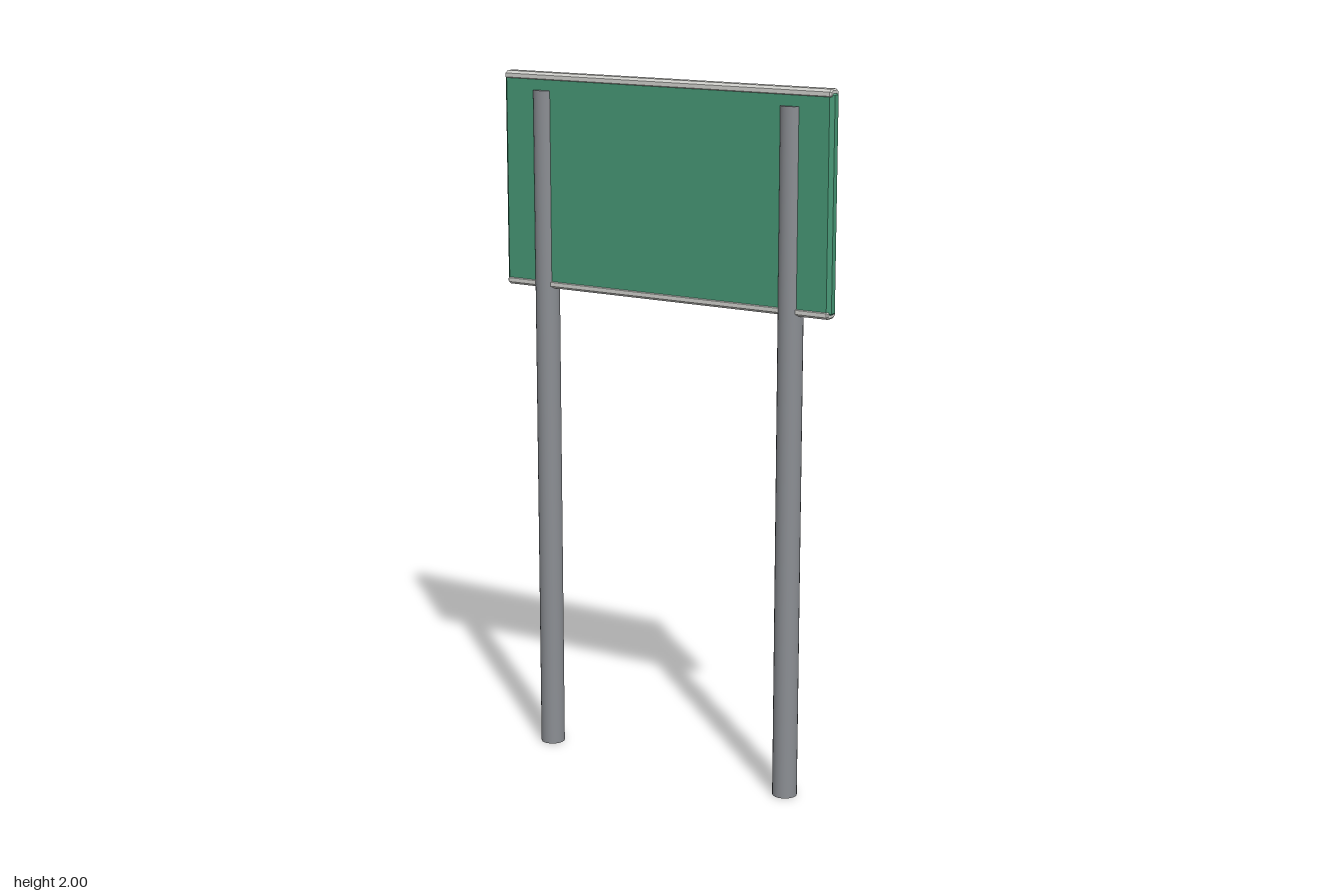
import * as THREE from 'three';

const green = new THREE.MeshStandardMaterial({ name: 'signGreen', color: 0x469674 });
const silver = new THREE.MeshStandardMaterial({ name: 'railSilver', color: 0xcfcfcb });
const steel = new THREE.MeshStandardMaterial({ name: 'postSteel', color: 0x8b8e93 });

// Bar with a cut-corner rectangular section and chamfered ends, running along z
function chamferedBar(halfW, halfH, cutW, cutH, length, bevel) {
  const w = halfW - bevel, h = halfH - bevel;
  const shape = new THREE.Shape([
    [w - cutW, -h], [w, -h + cutH], [w, h - cutH], [w - cutW, h],
    [-w + cutW, h], [-w, h - cutH], [-w, -h + cutH], [-w + cutW, -h],
  ].map(([x, y]) => new THREE.Vector2(x, y)));
  const geometry = new THREE.ExtrudeGeometry(shape, {
    depth: length - 2 * bevel, bevelEnabled: true,
    bevelThickness: bevel, bevelSize: bevel, bevelSegments: 1,
  });
  return geometry.center();
}

function add(group, name, geometry, material, x, y) {
  const mesh = new THREE.Mesh(geometry, material);
  mesh.name = name;
  mesh.position.set(x, y, 0);
  group.add(mesh);
}

export function createModel() {
  const group = new THREE.Group();
  group.name = 'roadSign';

  // Round posts, half sunk into the panel so they show on both faces
  const post = new THREE.CylinderGeometry(0.035, 0.035, 1.95, 24);
  add(group, 'leftPost', post, steel, 0.4, 0.975);
  add(group, 'rightPost', post, steel, -0.4, 0.975);

  // Panel with chamfered side edges
  const panel = chamferedBar(0.53, 0.02, 0.008, 0.008, 0.59, 0.004).rotateX(Math.PI / 2);
  add(group, 'panel', panel, green, 0, 1.693);

  // Edge rails along the top and bottom of the panel
  const rail = chamferedBar(0.023, 0.0125, 0.007, 0.005, 1.05, 0.004).rotateY(Math.PI / 2);
  add(group, 'topRail', rail, silver, 0, 1.9875);
  add(group, 'bottomRail', rail, silver, 0, 1.399);

  return group;
}
